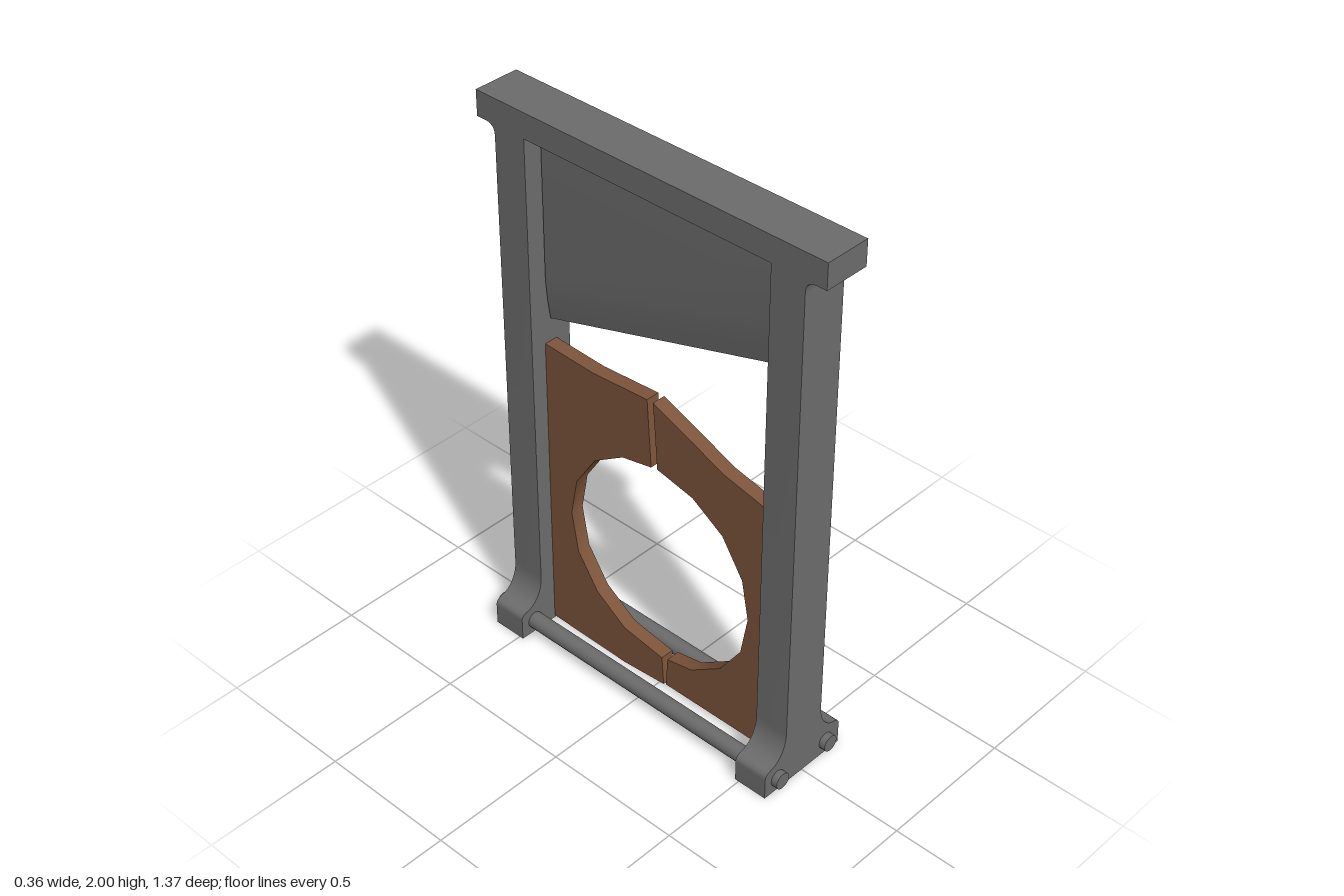
import * as THREE from 'three';
import { toCreasedNormals } from 'three/addons/utils/BufferGeometryUtils.js';

export function createModel() {
  const model = new THREE.Group();
  const iron = new THREE.MeshStandardMaterial({ color: 0x6c6c6c });
  iron.name = 'iron grey';
  const wood = new THREE.MeshStandardMaterial({ color: 0x7d543b });
  wood.name = 'brown wood';

  function add(name, geometry, material) {
    const mesh = new THREE.Mesh(geometry, material);
    mesh.name = name;
    model.add(mesh);
    return mesh;
  }

  // Extrudes a shape, centred on its depth
  function slab(shape, depth, curveSegments = 8) {
    const g = new THREE.ExtrudeGeometry(shape, { depth, bevelEnabled: false, curveSegments });
    g.translate(0, 0, -depth / 2);
    return toCreasedNormals(g, 0.6);
  }

  // Same, for a side profile drawn as (z, y) and given a width along x
  const sideSlab = (shape, width) => slab(shape, width).rotateY(-Math.PI / 2);
  const polygon = (points) => new THREE.Shape(points.map(([a, b]) => new THREE.Vector2(a, b)));

  // Posts with flared feet
  const half = 0.083;
  const post = new THREE.Shape();
  post.moveTo(-0.178, 0);
  post.lineTo(0.178, 0);
  post.lineTo(0.178, 0.08);
  post.quadraticCurveTo(0.178, 0.1, 0.152, 0.105);
  post.bezierCurveTo(0.115, 0.11, half, 0.155, half, 0.21);
  post.lineTo(half, 1.87);
  post.lineTo(-half, 1.87);
  post.lineTo(-half, 0.21);
  post.bezierCurveTo(-half, 0.155, -0.115, 0.11, -0.152, 0.105);
  post.quadraticCurveTo(-0.178, 0.1, -0.178, 0.08);
  for (const [name, z] of [['frontPost', 0.5475], ['backPost', -0.5475]]) {
    add(name, slab(post, 0.125), iron).position.z = z;
  }

  // Top beam with rounded brackets outside the posts
  const beam = new THREE.Shape();
  beam.moveTo(0.685, 2);
  beam.lineTo(-0.685, 2);
  beam.lineTo(-0.685, 1.91);
  beam.lineTo(-0.65, 1.91);
  beam.quadraticCurveTo(-0.61, 1.91, -0.61, 1.87);
  beam.lineTo(-0.485, 1.87);
  beam.lineTo(-0.485, 1.91);
  beam.lineTo(0.485, 1.91);
  beam.lineTo(0.485, 1.87);
  beam.lineTo(0.61, 1.87);
  beam.quadraticCurveTo(0.61, 1.91, 0.65, 1.91);
  beam.lineTo(0.685, 1.91);
  add('topBeam', sideSlab(beam, half * 2), iron);

  // Wooden strip holding the blade
  add('bladeHolder', new THREE.BoxGeometry(0.07, 0.027, 0.97).translate(0, 1.8975, 0), wood);

  // Slanted blade: a box pulled to its outline and thinned towards the cutting edge
  const blade = new THREE.BoxGeometry(1, 1, 0.96, 1, 3, 1);
  const p = blade.attributes.position;
  for (let i = 0; i < p.count; i++) {
    const z = p.getZ(i);
    const row = Math.round((p.getY(i) + 0.5) * 3);
    const edge = 1.378 + z * 0.3;
    const y = [edge, edge + 0.07, edge + 0.15, 1.89][row];
    const thick = [0.003, 0.013, 0.02, 0.02][row];
    p.setXYZ(i, Math.sign(p.getX(i)) * thick, y, z);
  }
  add('blade', toCreasedNormals(blade, 0.6), iron);

  // Two wooden boards around the faceted opening
  const arc = [[0.15, 0.87], [0.275, 0.79], [0.36, 0.66], [0.387, 0.515],
    [0.36, 0.365], [0.275, 0.24], [0.15, 0.155]];
  add('frontBoard', sideSlab(polygon([
    [0.485, 0.985], [0.28, 1.03], [-0.017, 1.15], [0, 0.902], ...arc,
    [0.045, 0.135], [0.038, 0.02], [0.485, 0.02],
  ]), 0.05), wood);
  add('backBoard', sideSlab(polygon([
    [-0.485, 1.145], [-0.275, 1.135], [-0.042, 1.15], [-0.026, 0.896],
    ...arc.map(([z, y]) => [-z, y]),
    [0.02, 0.127], [0.028, 0.015], [-0.15, 0.001], [-0.485, 0.008],
  ]), 0.05), wood);

  // Tie rods through the feet
  for (const [name, x] of [['leftRod', 0.113], ['rightRod', -0.119]]) {
    const rod = new THREE.CylinderGeometry(0.03, 0.03, 1.27, 16).rotateX(Math.PI / 2);
    add(name, rod, iron).position.set(x, 0.05, -0.002);
  }

  return model;
}
